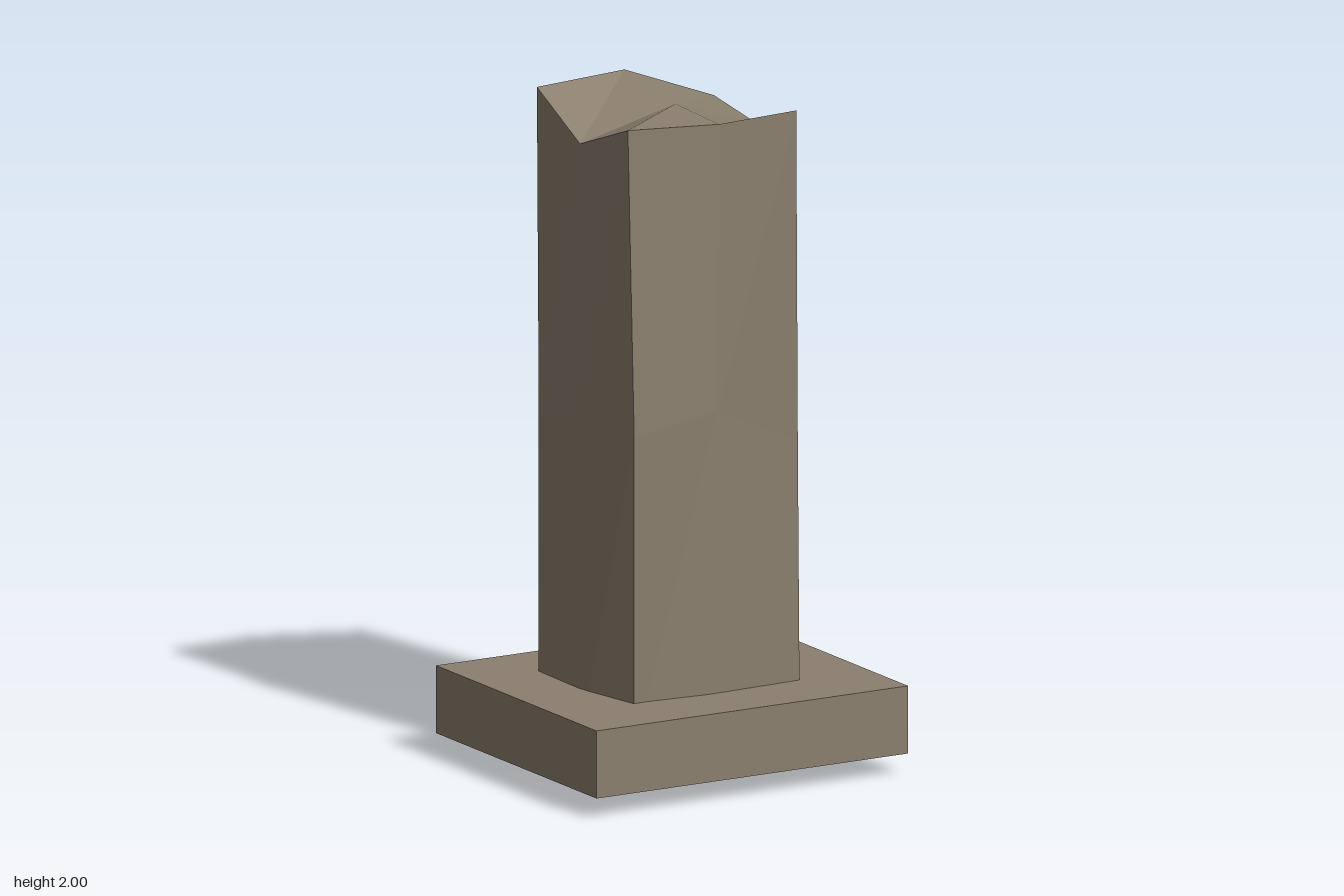
import * as THREE from 'three';

// Irregular stone corners as [x, y, z]: three levels, each with rows from
// back to front and columns from -x to +x.
const levels = [
  [ // foot, just poking out beneath the plinth
    [-0.3, 0.09, -0.245], [0, 0.08, -0.245], [0.3, 0.05, -0.25],
    [-0.305, 0.1, -0.01], [0, 0.07, 0], [0.305, 0, 0],
    [-0.262, 0.1, 0.225], [-0.04, 0.09, 0.245], [0.29, 0.07, 0.23],
  ],
  [ // waist
    [-0.305, 1.05, -0.235], [-0.01, 1.04, -0.25], [0.3, 1.0, -0.25],
    [-0.31, 1.03, -0.03], [0, 1.03, 0], [0.3, 1.03, 0],
    [-0.275, 1.05, 0.25], [0.01, 1.09, 0.238], [0.28, 0.97, 0.235],
  ],
  [ // broken top
    [-0.305, 1.987, -0.245], [-0.01, 2.0, -0.25], [0.28, 1.89, -0.235],
    [-0.295, 1.866, -0.02], [0.02, 1.945, -0.015], [0.29, 1.853, -0.005],
    [-0.283, 1.957, 0.228], [0.02, 1.937, 0.229], [0.266, 1.951, 0.25],
  ],
];

export function createModel() {
  const group = new THREE.Group();
  const stone = new THREE.MeshStandardMaterial({ color: 0x8a7f6e, flatShading: true });
  stone.name = 'weathered stone';

  // Square plinth
  const plinth = new THREE.Mesh(new THREE.BoxGeometry(1.04, 0.2, 0.9), stone);
  plinth.name = 'plinth';
  plinth.position.y = 0.16;
  group.add(plinth);

  // Upright slab: a 2 x 2 x 2 box whose corners are nudged to the table above
  const geometry = new THREE.BoxGeometry(2, 2, 2, 2, 2, 2);
  const pos = geometry.attributes.position;
  for (let i = 0; i < pos.count; i++) {
    const [col, level, row] = [pos.getX(i), pos.getY(i), pos.getZ(i)].map((v) => Math.round(v) + 1);
    pos.setXYZ(i, ...levels[level][row * 3 + col]);
  }
  geometry.computeVertexNormals();
  const pillar = new THREE.Mesh(geometry, stone);
  pillar.name = 'brokenPillar';
  group.add(pillar);

  return group;
}
